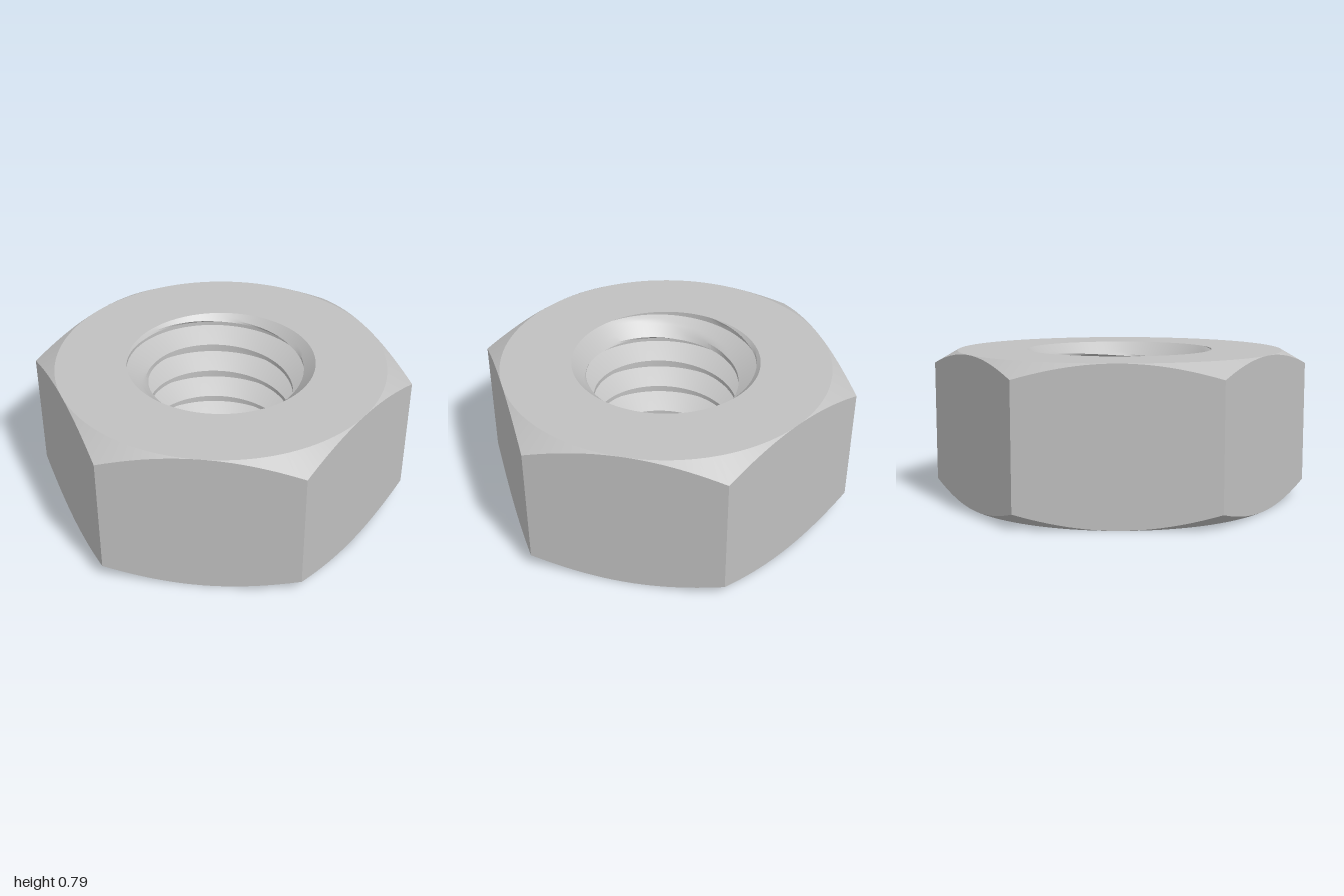
import * as THREE from 'three';
import { toCreasedNormals } from 'three/addons/utils/BufferGeometryUtils.js';

const H = 0.792;          // nut height
const FLAT = 0.866;       // centre to flat side
const MAJOR = 0.495;      // thread root and countersink rim radius
const MINOR = 0.385;      // thread crest radius
const PITCH = 0.1732;
const N = 144;            // divisions around the axis

// Skin a profile [radius, y] that varies with the angle around the axis
function sweepAround(profileAt, crease) {
  const pos = [], index = [];
  let rows = 0;
  for (let i = 0; i <= N; i++) {
    const a = (i / N) * Math.PI * 2;
    const profile = profileAt(a);
    rows = profile.length;
    for (const [r, y] of profile) pos.push(r * Math.cos(a), y, r * Math.sin(a));
  }
  const point = (k) => new THREE.Vector3().fromArray(pos, k * 3);
  const addFace = (p, q, s) => {
    const area = point(q).sub(point(p)).cross(point(s).sub(point(p))).length();
    if (area > 1e-9) index.push(p, q, s);
  };
  for (let i = 0; i < N; i++) {
    for (let j = 0; j < rows - 1; j++) {
      const p = i * rows + j, q = p + rows;
      addFace(p, q, p + 1);
      addFace(q, q + 1, p + 1);
    }
  }
  const geo = new THREE.BufferGeometry();
  geo.setAttribute('position', new THREE.Float32BufferAttribute(pos, 3));
  geo.setIndex(index);
  return toCreasedNormals(geo, crease);
}

// Hexagon with corners on the z axis, cut by a 30 degree cone at both ends
function hexProfile(a) {
  const sector = Math.PI / 3;
  const off = a - Math.round(a / sector) * sector;
  const r = FLAT / Math.cos(off);
  const drop = (r - FLAT) * Math.tan(Math.PI / 6);
  return [[MAJOR, H], [FLAT, H], [r, H - drop], [r, drop], [FLAT, 0], [MAJOR, 0]];
}

// One thread turn as [depth, radius]: lower flank, root, upper flank, crest
const turn = [];
const STEPS = 6;
for (let s = 0; s <= STEPS; s++) turn.push([0.0635 * s / STEPS, MINOR + (MAJOR - MINOR) * s / STEPS]);
for (let s = 0; s <= STEPS; s++) turn.push([0.0855 + 0.0635 * s / STEPS, MAJOR - (MAJOR - MINOR) * s / STEPS]);

// Right-handed thread, opened by a 45 degree countersink at both ends
function threadProfile(a) {
  const start = -0.032 + PITCH * (a - Math.PI) / (2 * Math.PI);
  const profile = [];
  for (let k = -1; k <= 5; k++) {
    for (const [offset, radius] of turn) {
      const d = THREE.MathUtils.clamp(start + k * PITCH + offset, 0, H);
      const cone = MAJOR - Math.min(d, H - d);
      profile.push([Math.max(radius, cone), H - d]);
    }
  }
  return profile.reverse();
}

export function createModel() {
  const steel = new THREE.MeshStandardMaterial({ color: 0xc0c0c0 });
  steel.name = 'steel grey';

  const group = new THREE.Group();
  group.name = 'hexNut';

  const body = new THREE.Mesh(sweepAround(hexProfile, 0.4), steel);
  body.name = 'hexBody';

  const thread = new THREE.Mesh(sweepAround(threadProfile, 0.4), steel);
  thread.name = 'threadedHole';

  group.add(body, thread);
  return group;
}
